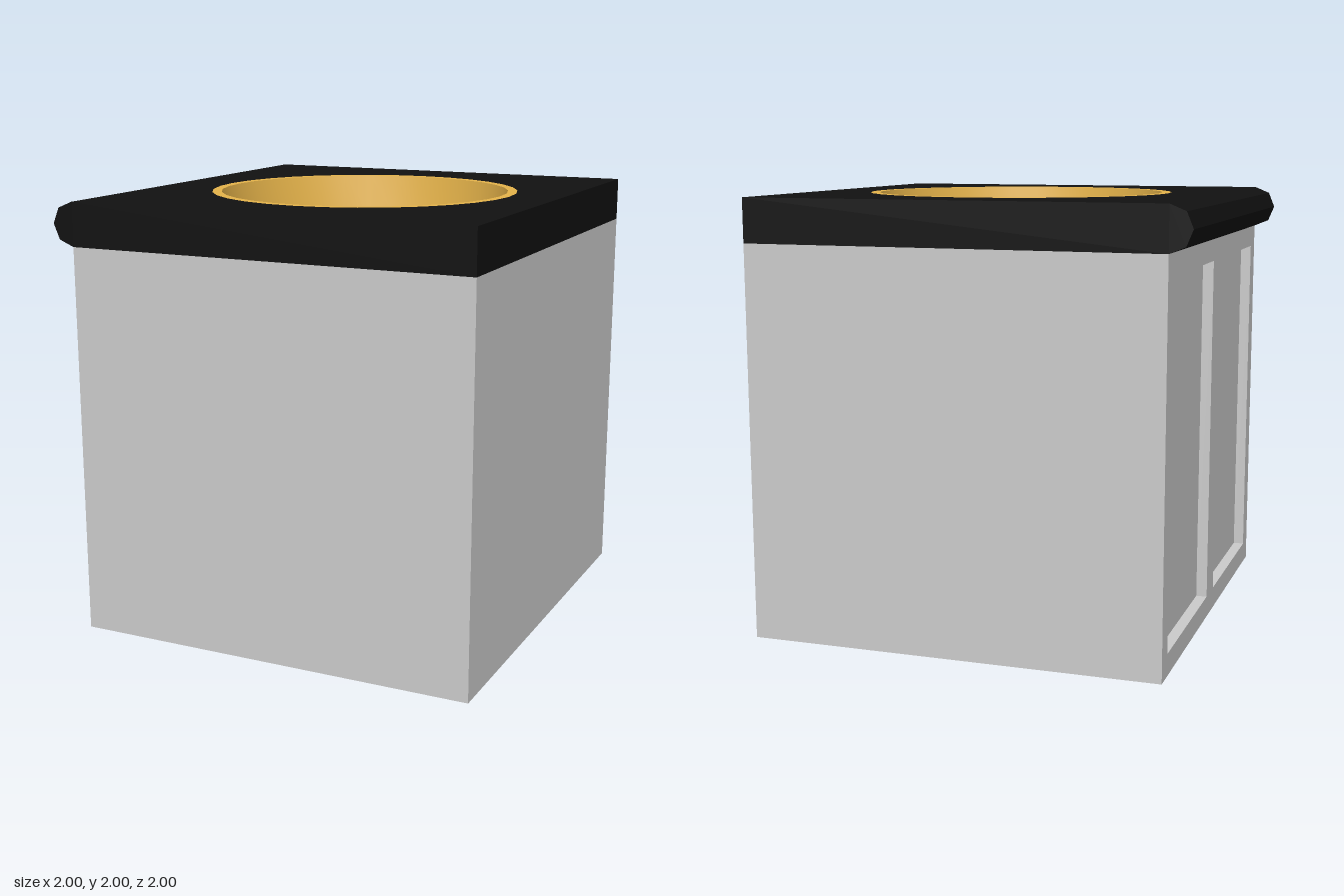
import * as THREE from 'three';
import { toCreasedNormals } from 'three/addons/utils/BufferGeometryUtils.js';

const grey = new THREE.MeshStandardMaterial({ color: 0xcccccc });
const black = new THREE.MeshStandardMaterial({ color: 0x111111 });
const gold = new THREE.MeshStandardMaterial({ color: 0xe5b34a });

const BODY_TOP = 1.8, TOP = 2, BODY_LEFT = -0.9, RECESS = 0.05;
const BASIN_X = 0.055, BASIN_R = 0.717;

function addMesh(group, name, geometry, material) {
  const mesh = new THREE.Mesh(geometry, material);
  mesh.name = name;
  group.add(mesh);
  return mesh;
}

// Closed rectangle outline, used for shapes and holes
function rectangle(Type, x0, y0, x1, y1) {
  return new Type([[x0, y0], [x1, y0], [x1, y1], [x0, y1]].map(([x, y]) => new THREE.Vector2(x, y)));
}

const extrude = (shape, depth) =>
  new THREE.ExtrudeGeometry(shape, { depth, bevelEnabled: false, curveSegments: 16 });

export function createModel() {
  const model = new THREE.Group();
  model.name = 'basinCabinet';

  // Cabinet body, stopping at the recessed door panels
  const backX = BODY_LEFT + RECESS;
  const body = addMesh(model, 'cabinetBody', new THREE.BoxGeometry(1 - backX, BODY_TOP, 2), grey);
  body.position.set((1 + backX) / 2, BODY_TOP / 2, 0);

  // Door frame with two openings on the -x side
  const frame = rectangle(THREE.Shape, -1, 0, 1, BODY_TOP);
  for (const z of [-0.9, 0.075]) frame.holes.push(rectangle(THREE.Path, z, 0.1, z + 0.825, 1.7));
  const doorFrame = addMesh(model, 'doorFrame', extrude(frame, RECESS).rotateY(-Math.PI / 2), grey);
  doorFrame.position.x = backX;

  // Countertop slab with a round cut-out
  const slab = rectangle(THREE.Shape, BODY_LEFT, -1, 1, 1);
  slab.holes.push(new THREE.Path().absarc(BASIN_X, 0, BASIN_R, 0, Math.PI * 2, true));
  const counter = addMesh(model, 'countertop', extrude(slab, TOP - BODY_TOP).rotateX(-Math.PI / 2), black);
  counter.position.y = BODY_TOP;

  // Faceted nosing overhanging the doors
  const nose = new THREE.Shape();
  for (let i = 0; i <= 4; i++) {
    const a = Math.PI / 2 + (i * Math.PI) / 4;
    nose[i ? 'lineTo' : 'moveTo'](BODY_LEFT + 0.1 * Math.cos(a), 1.9 + 0.1 * Math.sin(a));
  }
  addMesh(model, 'countertopNosing', extrude(nose, 2).translate(0, 0, -1), black);

  // Basin ring: flat rim and tapered inner wall, open down to the cabinet top
  const profile = [[BASIN_R, BODY_TOP], [BASIN_R, TOP], [0.673, TOP], [0.643, BODY_TOP]]
    .map(([r, y]) => new THREE.Vector2(r, y));
  const ring = toCreasedNormals(new THREE.LatheGeometry(profile, 32), 0.5);
  addMesh(model, 'basinRing', ring, gold).position.x = BASIN_X;

  return model;
}
